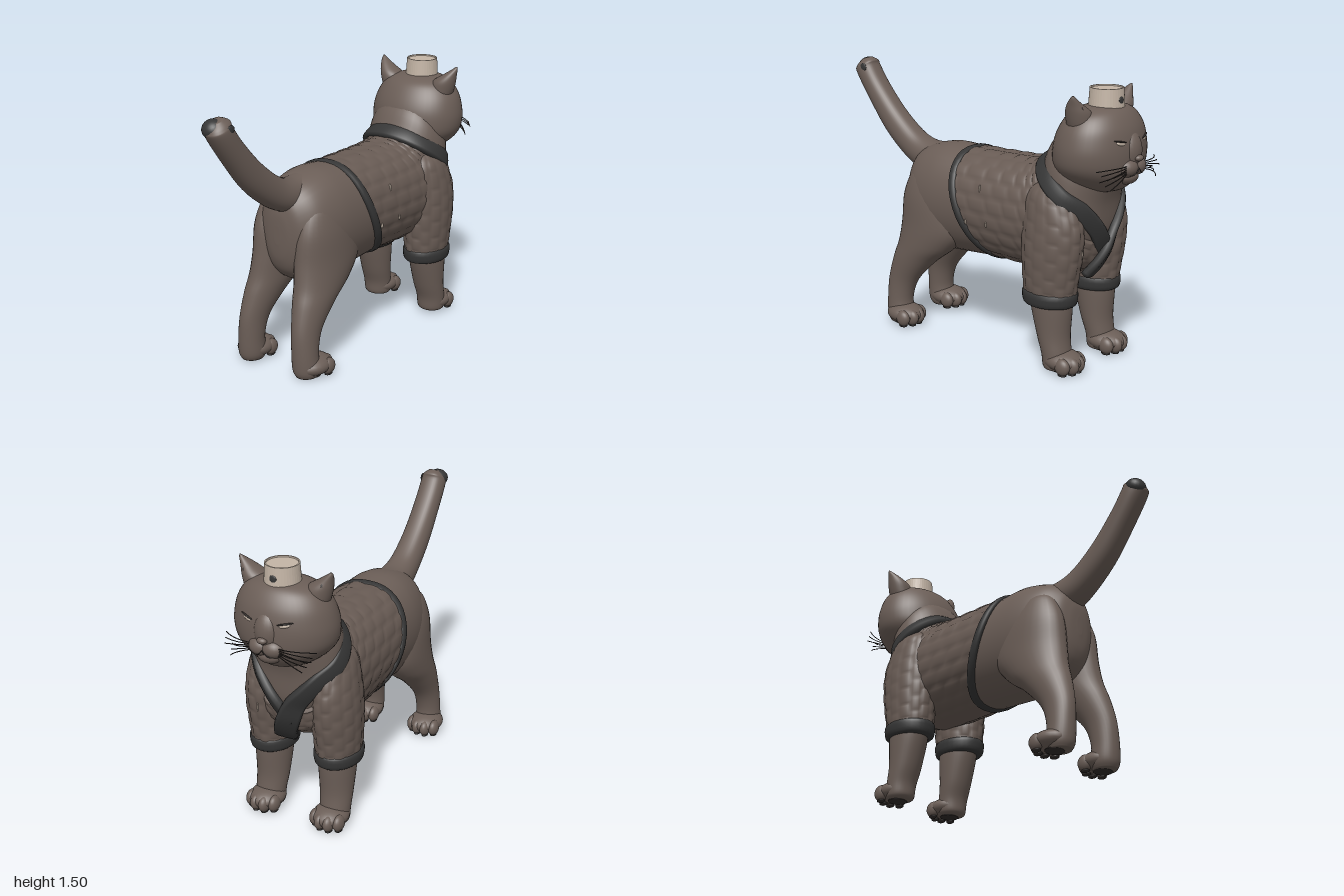
import * as THREE from 'three';

const material = (name, color, side = THREE.FrontSide) => {
  const m = new THREE.MeshStandardMaterial({ color, side });
  m.name = name;
  return m;
};

// Catmull-Rom interpolation of every column of a section list
function smooth(rows, steps) {
  const out = [];
  for (let i = 0; i < rows.length - 1; i++) {
    const [a, b, c, d] = [rows[Math.max(i - 1, 0)], rows[i], rows[i + 1], rows[Math.min(i + 2, rows.length - 1)]];
    for (let k = 0; k < steps; k++) {
      const t = k / steps;
      out.push(b.map((v, j) => v + 0.5 * t * (c[j] - a[j] + t * (2 * a[j] - 5 * v + 4 * c[j] - d[j]
        + t * (3 * (v - c[j]) + d[j] - a[j])))));
    }
  }
  out.push(rows[rows.length - 1]);
  return out;
}

// Closed skin over rings of points, always facing outward
function skin(rings) {
  const n = rings[0].length, pos = [], idx = [];
  rings.forEach(r => r.forEach(p => pos.push(p.x, p.y, p.z)));
  for (let i = 0; i < rings.length - 1; i++) {
    for (let j = 0; j < n; j++) {
      const a = i * n + j, b = i * n + (j + 1) % n;
      idx.push(a, b, a + n, b, b + n, a + n);
    }
  }
  [0, rings.length - 1].forEach((r, end) => {
    const c = new THREE.Vector3();
    rings[r].forEach(p => c.addScaledVector(p, 1 / n));
    const k = pos.length / 3;
    pos.push(c.x, c.y, c.z);
    for (let j = 0; j < n; j++) {
      const a = r * n + j, b = r * n + (j + 1) % n;
      idx.push(...(end ? [a, b, k] : [b, a, k]));
    }
  });
  const P = i => new THREE.Vector3().fromArray(pos, i * 3);
  let volume = 0;
  for (let i = 0; i < idx.length; i += 3) volume += P(idx[i]).dot(P(idx[i + 1]).cross(P(idx[i + 2])));
  if (volume < 0) idx.reverse();
  const g = new THREE.BufferGeometry();
  g.setAttribute('position', new THREE.Float32BufferAttribute(pos, 3));
  g.setIndex(idx);
  g.computeVertexNormals();
  return g;
}

// Quilted padding laid like staggered bricks
function quilt(angle, ring, rows) {
  const u = angle / (Math.PI * 2) * rows, v = ring / 9 + (Math.floor(u) % 2) / 2;
  return 0.024 * Math.sqrt(Math.abs(Math.sin(u * Math.PI) * Math.sin(v * Math.PI))) - 0.014;
}

// Sections [topX, topY, bottomX, bottomY, halfWidth, bow], upright across the spine
function spineLoft(rows, steps = 6, quiltRows = 0, n = 40) {
  return skin(smooth(rows, steps).map(([tx, ty, bx, by, w, bow = 0], i) =>
    Array.from({ length: n }, (_, j) => {
      const a = j / n * Math.PI * 2, k = quiltRows ? 1 + quilt(a, i, quiltRows) : 1;
      const c = Math.cos(a) * k / 2, s = Math.sign(Math.sin(a)) * Math.abs(Math.sin(a)) ** 0.85;
      return new THREE.Vector3((tx + bx) / 2 + (tx - bx) * c - bow * s * s,
        (ty + by) / 2 + (ty - by) * c, w * s * k);
    })));
}

// Sections [y, xBack, xFront, zInner, zOuter], level rings on one side
function uprightLoft(rows, side = 1, steps = 5, quiltRows = 0, n = 32) {
  return skin(smooth(rows, steps).map(([y, x0, x1, z0, z1], i) =>
    Array.from({ length: n }, (_, j) => {
      const a = j / n * Math.PI * 2, k = quiltRows ? 1 + 1.6 * quilt(a, i, quiltRows) : 1;
      return new THREE.Vector3((x0 + x1) / 2 + (x1 - x0) / 2 * Math.cos(a) * k, y,
        side * ((z0 + z1) / 2 + (z1 - z0) / 2 * Math.sin(a) * k));
    })));
}

// Flat rounded band that follows a path around a centre and widens at its end
function band(points, center, width, thick) {
  const curve = new THREE.CatmullRomCurve3(points.map(p => new THREE.Vector3(...p)));
  return skin(Array.from({ length: 101 }, (_, i) => {
    const p = curve.getPointAt(i / 100), t = curve.getTangentAt(i / 100);
    const out = p.clone().sub(center);
    out.addScaledVector(t, -out.dot(t)).normalize();
    const across = t.clone().cross(out);
    const half = width / 2 * (1 + 0.35 * THREE.MathUtils.smoothstep(i, 76, 92));
    return Array.from({ length: 12 }, (_, j) => {
      const a = j / 12 * Math.PI * 2, flat = v => Math.sign(v) * Math.sqrt(Math.abs(v));
      return p.clone().addScaledVector(across, flat(Math.cos(a)) * half)
        .addScaledVector(out, flat(Math.sin(a)) * thick / 2);
    });
  }));
}

export function createModel() {
  const model = new THREE.Group();
  const fur = material('fur brown', 0x6b5e57);
  const cloth = material('jacket brown', 0x685b54);
  const trim = material('trim charcoal', 0x363636);
  const cream = material('cap cream', 0xc4b5a6, THREE.DoubleSide);
  const dark = material('whisker dark', 0x2f2a28);
  const add = (name, geo, mat) => {
    const m = new THREE.Mesh(geo, mat);
    m.name = name;
    model.add(m);
    return m;
  };
  const blob = (name, mat, p, r) => {
    const m = add(name, new THREE.SphereGeometry(1, 24, 16), mat);
    m.position.set(...p);
    m.scale.set(...r);
    return m;
  };

  // Torso, jacket and chest
  add('hindBody', spineLoft([
    [-0.522, 0.82, -0.522, 0.72, 0.02, 0], [-0.515, 0.9, -0.51, 0.62, 0.08, 0], [-0.485, 0.98, -0.47, 0.54, 0.15, 0],
    [-0.4, 1.045, -0.38, 0.48, 0.22, 0], [-0.25, 1.08, -0.18, 0.47, 0.25, 0.02],
    [-0.09, 1.07, 0.17, 0.49, 0.252, 0.05]], 8), fur);
  add('jacketBody', spineLoft([
    [-0.1, 1.075, 0.16, 0.49, 0.264, 0.05], [0.15, 1.075, 0.38, 0.485, 0.27, 0.03],
    [0.34, 1.08, 0.61, 0.495, 0.272, 0], [0.42, 1.095, 0.74, 0.57, 0.258, 0],
    [0.455, 1.115, 0.78, 0.68, 0.248, 0]], 20, 20, 120), cloth);
  add('jacketHem', spineLoft([
    [-0.115, 1.07, 0.135, 0.5, 0.25, 0.05], [-0.11, 1.08, 0.14, 0.482, 0.272, 0.05],
    [-0.075, 1.08, 0.185, 0.482, 0.272, 0.05], [-0.07, 1.07, 0.19, 0.5, 0.25, 0.05]], 2), trim);
  add('chestAndNeck', spineLoft([
    [0.42, 1.07, 0.74, 0.64, 0.22], [0.46, 1.13, 0.79, 0.75, 0.243], [0.515, 1.23, 0.808, 0.91, 0.235],
    [0.61, 1.32, 0.845, 1.03, 0.18]]), fur);

  // Collar wraps the nape and crosses over on the chest
  const lap = s => [[0.482, 1.095, s * 0.13], [0.565, 1.03, s * 0.22], [0.67, 0.95, s * 0.236],
    [0.745, 0.885, s * 0.18], [0.778, 0.815, s * 0.122], [0.788, 0.74, s * 0.062]];
  add('collar', band([
    [0.758, 0.62, -0.015], ...lap(1).reverse(), [0.455, 1.118, 0], ...lap(-1),
    [0.784, 0.65, -0.02], [0.752, 0.57, 0.018], [0.705, 0.505, 0.045]],
  new THREE.Vector3(0.6, 0.9, 0), 0.095, 0.05), trim);

  // Pale stitches on the jacket
  [[0.14, 0.91, 0.246, 0.024], [0.05, 0.72, 0.262, 0.014], [0.2, 0.73, 0.267, 0.016]].forEach(([x, y, z, h]) =>
    blob('stitch', cream, [x, y, z], [0.003, h, 0.009]));
  blob('sleeveStitch', cream, [0.762, 0.655, 0.18], [0.009, 0.03, 0.003]);

  for (const s of [1, -1]) {
    const tag = s > 0 ? 'Near' : 'Far', hindShift = s > 0 ? 0.01 : -0.008;
    // Front leg, sleeve and cuff
    add('frontLeg' + tag, uprightLoft([
      [0.5, 0.45, 0.7, 0.1, 0.29], [0.36, 0.47, 0.705, 0.095, 0.295], [0.2, 0.515, 0.695, 0.105, 0.288],
      [0.1, 0.55, 0.705, 0.115, 0.285], [0.03, 0.56, 0.71, 0.12, 0.28], [0.012, 0.58, 0.69, 0.14, 0.26]], s), fur);
    add('sleeve' + tag, uprightLoft([
      [1.02, 0.52, 0.6, 0.15, 0.2], [0.95, 0.44, 0.7, 0.1, 0.275], [0.8, 0.415, 0.765, 0.08, 0.31],
      [0.65, 0.41, 0.765, 0.07, 0.322], [0.5, 0.42, 0.74, 0.075, 0.318], [0.4, 0.43, 0.725, 0.08, 0.31]], s, 14, 14, 84), cloth);
    add('sleeveCuff' + tag, uprightLoft([
      [0.36, 0.445, 0.7, 0.1, 0.295], [0.37, 0.427, 0.728, 0.075, 0.318], [0.425, 0.42, 0.735, 0.07, 0.323],
      [0.44, 0.44, 0.715, 0.09, 0.3]], s, 3), trim);

    // Hind leg
    add('hindLeg' + tag, uprightLoft([
      [0.95, -0.4, -0.28, 0.1, 0.17], [0.9, -0.455, -0.19, 0.06, 0.213], [0.78, -0.505, -0.1, 0.03, 0.248],
      [0.62, -0.522, -0.06, 0.02, 0.26], [0.5, -0.54, -0.15, 0.04, 0.262], [0.4, -0.572, -0.28, 0.07, 0.258],
      [0.27, -0.602, -0.405, 0.105, 0.25], [0.15, -0.607, -0.45, 0.115, 0.255],
      [0.05, -0.602, -0.44, 0.115, 0.262], [0.01, -0.585, -0.45, 0.13, 0.25]], s), fur).position.x = hindShift;

    // Paws with four toes and dark pads
    for (const [end, x] of [['front', 0.67], ['hind', -0.48 + hindShift]]) {
      blob(end + 'Paw' + tag, fur, [x, 0.065, s * 0.198], [0.112, 0.057, 0.097]);
      [0.13, 0.174, 0.224, 0.268].forEach((z, i) => {
        const fx = x + (i % 3 ? 0.074 : 0.046);
        blob(end + 'Toe' + tag, fur, [fx, 0.055, s * z], [0.045, 0.046, 0.031]);
        blob(end + 'ToePad' + tag, dark, [fx, 0.012, s * z], [0.027, 0.01, 0.019]);
      });
      blob(end + 'Pad' + tag, dark, [x - 0.015, 0.011, s * 0.2], [0.05, 0.01, 0.055]);
    }

    // Pointed ear with a dark inner face
    add('ear' + tag, uprightLoft([
      [1.28, 0.66, 0.8, 0.1, 0.22], [1.34, 0.66, 0.8, 0.1, 0.242], [1.39, 0.665, 0.795, 0.12, 0.254],
      [1.43, 0.69, 0.775, 0.18, 0.26], [1.465, 0.725, 0.758, 0.232, 0.265], [1.48, 0.743, 0.75, 0.252, 0.262]], s), fur);
    const inner = blob('innerEar' + tag, dark, [0.768, 1.395, s * 0.226], [0.011, 0.04, 0.024]);
    inner.rotation.set(s * 0.3, -s * 0.75, 0.2);

    // Narrow eye with dark lid
    const eye = blob('eye' + tag, cream, [0.931, 1.242, s * 0.105], [0.009, 0.01, 0.028]);
    const lid = blob('eyelid' + tag, dark, [0.932, 1.253, s * 0.108], [0.008, 0.0045, 0.042]);
    [eye, lid].forEach(m => m.rotation.set(-s * 0.2, -s * 0.33, 0));

    // Muzzle cheek, whiskers and mouth
    blob('muzzle' + tag, fur, [0.925, 1.11, s * 0.036], [0.056, 0.05, 0.064]);
    for (let i = 0; i < 6; i++) {
      const y = 1.125 - i * 0.007;
      const path = new THREE.QuadraticBezierCurve3(
        new THREE.Vector3(0.95, y, s * 0.07),
        new THREE.Vector3(0.985, y + 0.01 - i * 0.005, s * 0.15),
        new THREE.Vector3(0.895 + (i % 3) * 0.025, y - 0.005 - i * 0.012, s * (0.26 - i * 0.011)));
      add('whisker' + tag, new THREE.TubeGeometry(path, 10, 0.0026, 5), dark);
    }
    const mouth = new THREE.QuadraticBezierCurve3(new THREE.Vector3(0.975, 1.11, 0),
      new THREE.Vector3(0.982, 1.075, s * 0.02), new THREE.Vector3(0.957, 1.073, s * 0.055));
    add('mouthLine' + tag, new THREE.TubeGeometry(mouth, 10, 0.0025, 6), dark);
  }

  // Head
  add('head', uprightLoft([
    [0.96, 0.66, 0.8, -0.06, 0.06], [0.985, 0.58, 0.875, -0.135, 0.135], [1.04, 0.54, 0.925, -0.215, 0.215],
    [1.1, 0.515, 0.95, -0.265, 0.265], [1.17, 0.515, 0.957, -0.28, 0.28], [1.24, 0.525, 0.952, -0.272, 0.272],
    [1.31, 0.555, 0.935, -0.247, 0.247], [1.37, 0.6, 0.9, -0.2, 0.2], [1.402, 0.66, 0.86, -0.13, 0.13],
    [1.41, 0.72, 0.81, -0.05, 0.05]], 1, 5, 0, 48), fur);
  blob('noseBridge', fur, [0.905, 1.19, 0], [0.072, 0.11, 0.075]);
  blob('chin', fur, [0.9, 1.06, 0], [0.06, 0.045, 0.07]);
  blob('nose', fur, [0.972, 1.16, 0], [0.022, 0.017, 0.028]);

  // Small round cap with a shallow recessed top
  const cap = add('cap', new THREE.LatheGeometry([[0.094, 0], [0.09, 0.06], [0.087, 0.107], [0.08, 0.107], [0.079, 0.1], [0, 0.1]]
    .map(q => new THREE.Vector2(...q)), 40).toNonIndexed(), cream);
  cap.geometry.computeVertexNormals();
  cap.position.set(0.77, 1.39, 0);
  blob('capSpot', trim, [0.858, 1.437, 0], [0.006, 0.02, 0.02]);

  // Tail with dark tip
  add('tail', spineLoft([
    [-0.3, 1.07, -0.4, 0.88, 0.09], [-0.41, 1.062, -0.48, 0.89, 0.095], [-0.52, 1.1, -0.6, 0.95, 0.085],
    [-0.66, 1.21, -0.75, 1.075, 0.078], [-0.79, 1.35, -0.88, 1.24, 0.074], [-0.862, 1.45, -0.985, 1.39, 0.072],
    [-0.873, 1.48, -0.996, 1.43, 0.062], [-0.91, 1.495, -0.965, 1.475, 0.03]]), fur);
  const tip = blob('tailTip', trim, [-0.948, 1.44, -0.018], [0.056, 0.048, 0.058]);
  tip.rotation.z = 0.5;
  blob('tailSpot', trim, [-0.907, 1.44, 0.064], [0.024, 0.024, 0.007]);

  return model;
}
